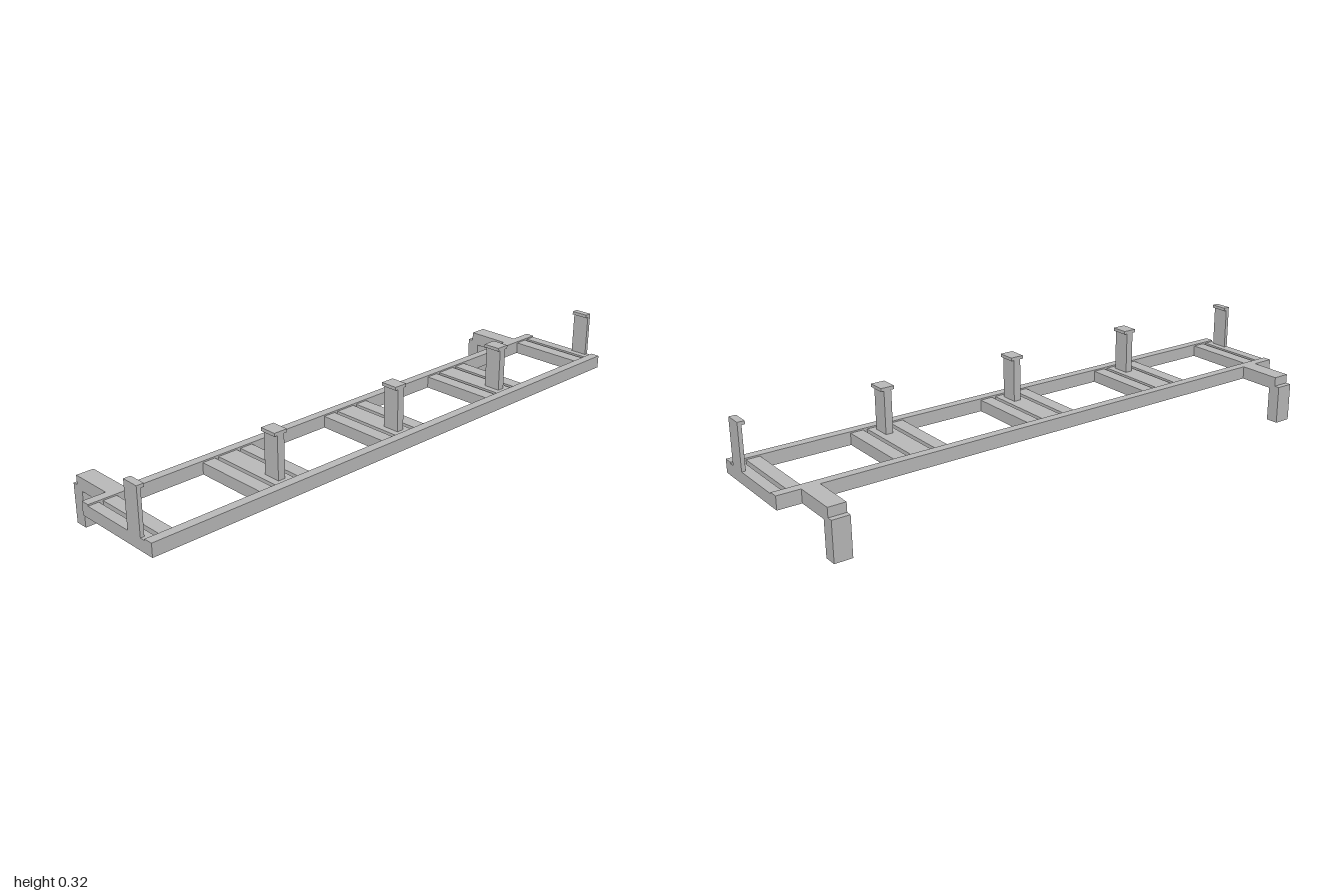
import * as THREE from 'three';

export function createModel() {
  const model = new THREE.Group();
  model.name = 'rackFrame';
  const grey = new THREE.MeshStandardMaterial({ color: 0xb8b8b8 });
  grey.name = 'plain grey';

  // box given by its limits on each axis
  function bar(name, x0, x1, y0, y1, z0, z1) {
    const mesh = new THREE.Mesh(new THREE.BoxGeometry(x1 - x0, y1 - y0, z1 - z0), grey);
    mesh.name = name;
    mesh.position.set((x0 + x1) / 2, (y0 + y1) / 2, (z0 + z1) / 2);
    model.add(mesh);
  }

  // long rails
  bar('frontRail', -1, 1, 0.121, 0.166, 0.222, 0.254);
  bar('backRail', -1, 1, 0.121, 0.166, -0.081, -0.05);

  // each station has three cross slats and a capped post, cut off at the rail ends
  const clip = (v) => Math.max(-1, Math.min(1, v));
  for (const c of [-1, -0.5, 0, 0.5, 1]) {
    for (const [a, b] of [[-0.096, -0.05], [-0.036, 0.036], [0.05, 0.096]]) {
      const x0 = clip(c + a), x1 = clip(c + b);
      if (x1 > x0) bar('crossSlat', x0, x1, 0.121, 0.161, -0.05, 0.222);
    }
    bar('post', clip(c - 0.013), clip(c + 0.013), 0.161, 0.306, 0.143, 0.203);
    bar('postCap', clip(c - 0.024), clip(c + 0.024), 0.306, 0.317, 0.143, 0.203);
  }

  // rear arms with hanging legs
  for (const c of [-0.891, 0.891]) {
    bar('rearArm', c - 0.03, c + 0.03, 0.121, 0.166, -0.235, -0.081);
    bar('rearLeg', c - 0.03, c + 0.03, 0, 0.121, -0.254, -0.209);
    bar('legLip', c - 0.03, c + 0.03, 0.121, 0.134, -0.254, -0.235);
  }
  return model;
}
